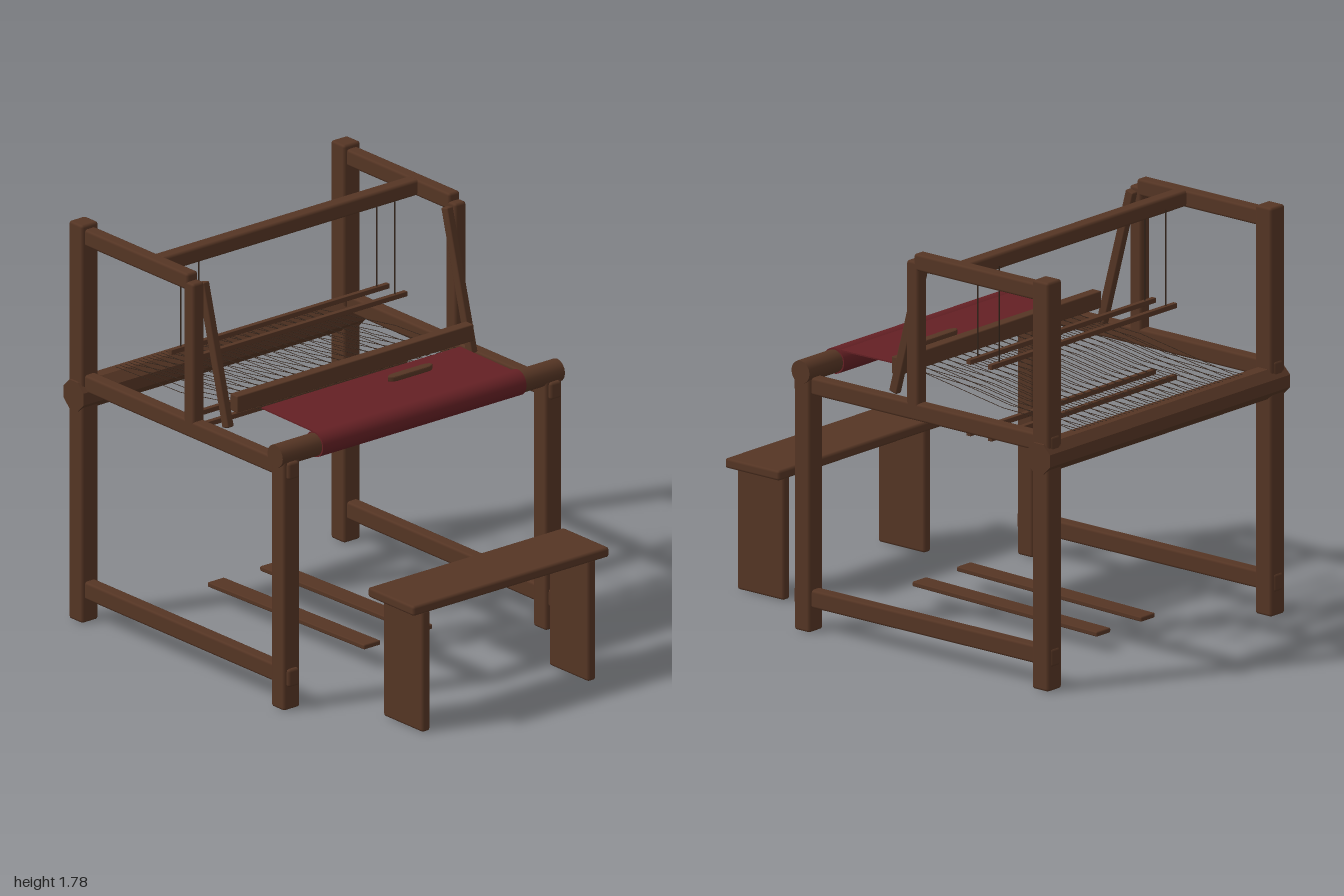
import * as THREE from 'three';
import { mergeGeometries } from 'three/addons/utils/BufferGeometryUtils.js';
import { RoundedBoxGeometry } from 'three/addons/geometries/RoundedBoxGeometry.js';

const material = (name, color) => {
  const m = new THREE.MeshStandardMaterial({ color });
  m.name = name;
  return m;
};

export function createModel() {
  const loom = new THREE.Group();
  loom.name = 'loomWithBench';
  const wood = material('darkWood', 0x553524);
  const cloth = material('redCloth', 0x642024);
  const thread = material('darkThread', 0x35251b);

  const add = (name, geometry, mat, parent = loom) => {
    const mesh = new THREE.Mesh(geometry, mat);
    mesh.name = name;
    parent.add(mesh);
    return mesh;
  };
  // Timber with softened edges, given by its extents on each axis
  const beam = (name, x0, x1, y0, y1, z0, z1, bevel = 0.012) => {
    const size = [x1 - x0, y1 - y0, z1 - z0];
    const r = Math.min(bevel, Math.min(...size) * 0.3);
    const mesh = add(name, new RoundedBoxGeometry(...size, 1, r), wood);
    mesh.position.set((x0 + x1) / 2, (y0 + y1) / 2, (z0 + z1) / 2);
    return mesh;
  };
  // Timber with its length along a slope in the y-z plane
  const slopedBeam = (name, x, width, depth, [y0, z0], [y1, z1]) => {
    const length = Math.hypot(y1 - y0, z1 - z0);
    const mesh = add(name, new RoundedBoxGeometry(width, length, depth, 1, 0.006), wood);
    mesh.position.set(x, (y0 + y1) / 2, (z0 + z1) / 2);
    mesh.rotation.x = Math.atan2(z1 - z0, y1 - y0);
    return mesh;
  };
  // Roller lying along x
  const roller = (radius, length, sides) =>
    new THREE.CylinderGeometry(radius, radius, length, sides).rotateZ(Math.PI / 2);
  // Thin strand between two points
  const strand = (a, b, radius) => {
    const dir = b.clone().sub(a);
    const g = new THREE.CylinderGeometry(radius, radius, dir.length(), 4, 1, true);
    g.applyQuaternion(new THREE.Quaternion().setFromUnitVectors(
      new THREE.Vector3(0, 1, 0), dir.normalize()));
    const mid = a.clone().add(b).multiplyScalar(0.5);
    return g.translate(mid.x, mid.y, mid.z);
  };

  // Side frames
  for (const s of [-1, 1]) {
    const side = s > 0 ? 'left' : 'right';
    const post = (name, w, y0, y1, z0, z1) =>
      beam(side + name, s * 0.715 - w / 2, s * 0.715 + w / 2, y0, y1, z0, z1);
    post('FrontPost', 0.09, 0, 1.13, 0.34, 0.425);
    post('RearPost', 0.09, 0, 1.785, -0.975, -0.885);
    post('LowerRail', 0.06, 0.105, 0.185, -0.98, 0.44);
    post('UpperRail', 0.06, 1.035, 1.112, -0.98, 0.44);
    post('TopRail', 0.06, 1.69, 1.765, -0.95, -0.22);
    post('MiddlePost', 0.06, 1.085, 1.73, -0.245, -0.18);
    slopedBeam(side + 'BattenArm', s * 0.665, 0.034, 0.042, [1.11, -0.05], [1.715, -0.212]);
  }

  // Cross timbers
  beam('topCrossBeam', -0.7, 0.7, 1.695, 1.765, -0.495, -0.428);
  beam('batten', -0.645, 0.645, 1.178, 1.253, -0.063, -0.013, 0.005);

  // Warp beam at the back, breast beam at the front
  const warpBeam = roller(0.07, 1.54, 8).rotateX(Math.PI / 8).toNonIndexed();
  warpBeam.computeVertexNormals();
  add('warpBeam', warpBeam, wood).position.set(0, 1.015, -0.93);
  add('breastBeam', roller(0.05, 1.54, 16), wood).position.set(0, 1.135, 0.38);

  // Woven cloth: roll on the breast beam and the flat web behind it
  add('clothRoll', roller(0.056, 1.11, 32), cloth).position.set(0, 1.135, 0.38);
  const web = add('clothWeb', new THREE.BoxGeometry(1.085, 0.006, 0.36), cloth);
  web.position.set(0, 1.184, 0.2);
  web.rotation.x = 0.012;

  // Shafts: upper and lower bars with hanging cords
  const cords = [];
  for (const z of [-0.395, -0.512]) {
    beam('upperShaftBar', -0.595, 0.595, 1.28, 1.302, z - 0.011, z + 0.011, 0.002);
    beam('lowerShaftBar', -0.595, 0.595, 0.968, 0.99, z - 0.011, z + 0.011, 0.002);
    for (const x of [-0.535, 0.535]) {
      cords.push(strand(new THREE.Vector3(x, 1.295, z), new THREE.Vector3(x, 1.72, z), 0.004));
    }
  }
  add('shaftCords', mergeGeometries(cords), thread);

  // Warp threads, alternately raised and lowered to form the shed
  const threads = [];
  const count = 44;
  for (let i = 0; i < count; i++) {
    const x = -0.535 + (1.07 * i) / (count - 1);
    const path = [[1.18, 0.03], i % 2 ? [1.162, -0.395] : [1.095, -0.512],
      [1.085, -0.9], [1.083, -0.935]].map(([y, z]) => new THREE.Vector3(x, y, z));
    for (let k = 0; k < 3; k++) threads.push(strand(path[k], path[k + 1], 0.0015));
  }
  add('warpThreads', mergeGeometries(threads), thread);

  // Shuttle: a boat-shaped block with pointed, rounded ends
  const outline = new THREE.Shape();
  outline.moveTo(-0.115, 0);
  outline.quadraticCurveTo(-0.105, 0.016, -0.075, 0.016);
  outline.lineTo(0.075, 0.016);
  outline.quadraticCurveTo(0.105, 0.016, 0.115, 0);
  outline.quadraticCurveTo(0.105, -0.016, 0.075, -0.016);
  outline.lineTo(-0.075, -0.016);
  outline.quadraticCurveTo(-0.105, -0.016, -0.115, 0);
  const shuttle = new THREE.ExtrudeGeometry(outline, {
    depth: 0.012, bevelSize: 0.005, bevelThickness: 0.006, bevelSegments: 2, curveSegments: 6,
  }).rotateX(-Math.PI / 2);
  add('shuttle', shuttle, wood).position.set(0.173, 1.194, 0.135);

  // Treadles
  for (const x of [-0.147, 0.138]) {
    slopedBeam('treadle', x, 0.09, 0.022, [0.098, 0.27], [0.076, -0.748]);
  }

  // Bench
  beam('benchSeat', -0.535, 0.535, 0.54, 0.585, 0.7, 1.0);
  for (const s of [-1, 1]) {
    beam('benchLeg', s * 0.452 - 0.022, s * 0.452 + 0.022, 0, 0.545, 0.728, 0.985);
  }
  return loom;
}
